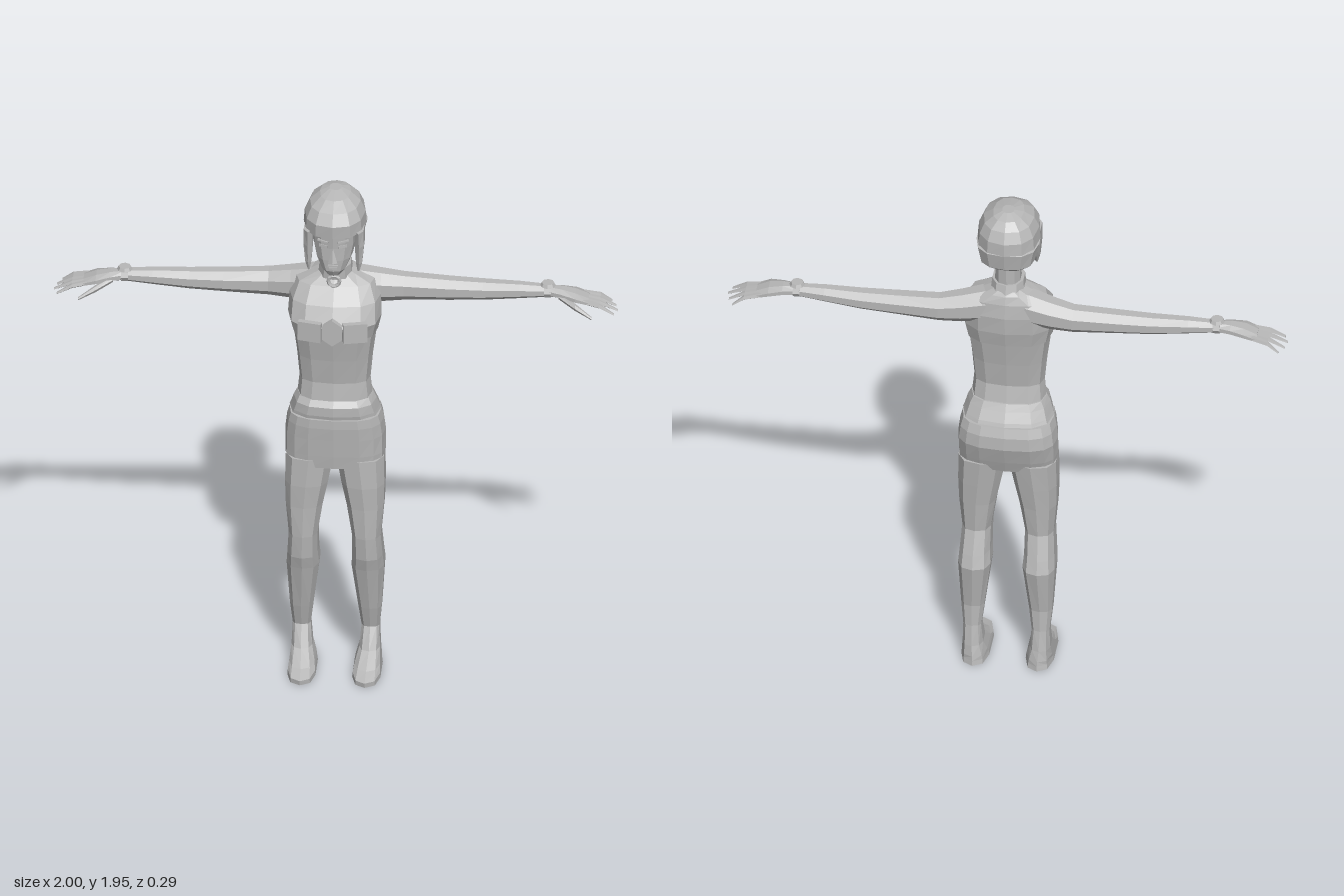
import * as THREE from 'three';

export function createModel() {
  const model = new THREE.Group();
  model.name = 'figure';
  const grey = new THREE.MeshStandardMaterial({ color: 0xb8b8b8 });
  grey.name = 'plain grey';
  grey.flatShading = true;
  grey.side = THREE.DoubleSide;

  const add = (geometry, name) => {
    const mesh = new THREE.Mesh(geometry, grey);
    mesh.name = name;
    model.add(mesh);
    return mesh;
  };

  // Skin a list of closed rings and cap both ends
  const skin = (rings) => {
    const n = rings[0].length;
    const pos = rings.flat(2);
    const idx = [];
    for (let i = 0; i < rings.length - 1; i++) {
      for (let j = 0; j < n; j++) {
        const a = i * n + j, b = i * n + (j + 1) % n;
        idx.push(a, b, b + n, a, b + n, a + n);
      }
    }
    const top = (rings.length - 1) * n;
    for (let j = 1; j < n - 1; j++) {
      idx.push(0, j + 1, j, top, top + j, top + j + 1);
    }
    const g = new THREE.BufferGeometry();
    g.setAttribute('position', new THREE.Float32BufferAttribute(pos, 3));
    g.setIndex(idx);
    const flat = g.toNonIndexed();
    flat.computeVertexNormals();
    return flat;
  };

  // Upright body: rows are [y, half width, front z, back z, centre x]
  const upright = (rows, n = 12, power = 0.75) => skin(rows.map(([y, hw, zf, zb, cx = 0]) =>
    Array.from({ length: n }, (_, j) => {
      const a = (j / n) * Math.PI * 2, s = Math.sin(a), c = Math.cos(a);
      const round = (v) => Math.sign(v) * Math.pow(Math.abs(v), power);
      return [cx + hw * round(s), y, (zf + zb) / 2 + (zf - zb) / 2 * round(c)];
    })));

  // Sideways limb: rows are [x, y, z, half height, half depth]
  const sideways = (rows, n = 8) => skin(rows.map(([x, y, z, hy, hz]) =>
    Array.from({ length: n }, (_, j) => {
      const a = ((j + 0.5) / n) * Math.PI * 2;
      return [x, y + hy * Math.cos(a) * 1.08, z + hz * Math.sin(a) * 1.08];
    })));

  // Add a left part and its mirrored right twin
  const pair = (geometry, name) => {
    const g = geometry.index ? geometry.toNonIndexed() : geometry;
    add(g, name + 'Left');
    const m = g.clone().scale(-1, 1, 1);
    const p = m.attributes.position;
    for (let i = 0; i < p.count; i += 3) {
      const b = [p.getX(i + 1), p.getY(i + 1), p.getZ(i + 1)];
      p.setXYZ(i + 1, p.getX(i + 2), p.getY(i + 2), p.getZ(i + 2));
      p.setXYZ(i + 2, ...b);
    }
    m.computeVertexNormals();
    add(m, name + 'Right');
  };

  // Torso, overhanging top, hips and belt
  add(upright([
    [1.04, 0.15, 0.085, -0.115], [1.11, 0.135, 0.085, -0.085], [1.2, 0.126, 0.075, -0.065],
    [1.3, 0.135, 0.09, -0.078], [1.43, 0.152, 0.115, -0.1],
  ]), 'torso');
  add(upright([
    [1.4, 0.153, 0.12, -0.1], [1.46, 0.166, 0.143, -0.113], [1.53, 0.162, 0.105, -0.117],
    [1.585, 0.14, 0.055, -0.11], [1.615, 0.08, 0.035, -0.1], [1.63, 0.05, 0.025, -0.09],
  ]), 'chest');
  add(upright([
    [0.85, 0.176, 0.072, -0.1], [0.9, 0.178, 0.078, -0.118], [0.97, 0.178, 0.085, -0.14],
    [1.02, 0.172, 0.09, -0.138], [1.055, 0.163, 0.09, -0.125],
  ], 16, 0.7), 'hips');
  add(upright([
    [1.062, 0.163, 0.095, -0.128], [1.075, 0.158, 0.098, -0.122],
    [1.11, 0.147, 0.098, -0.1], [1.135, 0.135, 0.08, -0.085],
  ]), 'belt');

  // Band across the chest with a hexagonal centre piece
  const clasp = new THREE.CylinderGeometry(0.045, 0.045, 0.02, 6);
  clasp.rotateX(Math.PI / 2).scale(0.9, 1.15, 1);
  add(clasp, 'chestClasp').position.set(0, 1.447, 0.138);
  const band = new THREE.BoxGeometry(0.085, 0.075, 0.02);
  band.rotateY(0.22).translate(0.08, 1.445, 0.131);
  pair(band, 'chestBand');

  // Legs and feet
  pair(upright([
    [0.15, 0.033, -0.025, -0.097, 0.122], [0.24, 0.043, 0.0, -0.095, 0.121],
    [0.42, 0.06, 0.045, -0.125, 0.115], [0.47, 0.056, 0.06, -0.11, 0.115],
    [0.56, 0.053, 0.068, -0.08, 0.112], [0.68, 0.068, 0.07, -0.09, 0.108],
    [0.77, 0.079, 0.075, -0.1, 0.1], [0.88, 0.088, 0.075, -0.112, 0.089],
  ], 10), 'leg');
  pair(upright([
    [0, 0.052, 0.143, -0.125, 0.115], [0.018, 0.05, 0.145, -0.122, 0.115],
    [0.035, 0.047, 0.09, -0.119, 0.116], [0.075, 0.038, 0.015, -0.11, 0.12],
    [0.155, 0.033, -0.025, -0.097, 0.122],
  ], 10), 'foot');

  // Arms
  pair(sideways([
    [0.07, 1.55, -0.045, 0.065, 0.06], [0.16, 1.537, -0.06, 0.057, 0.052],
    [0.24, 1.53, -0.07, 0.048, 0.045], [0.4, 1.53, -0.066, 0.04, 0.042],
    [0.52, 1.531, -0.064, 0.035, 0.038], [0.65, 1.537, -0.06, 0.028, 0.032],
    [0.76, 1.54, -0.057, 0.02, 0.024],
  ]), 'arm');

  // Hands with four fingers and a thumb
  pair(sideways([
    [0.75, 1.54, -0.057, 0.019, 0.024], [0.8, 1.538, -0.053, 0.018, 0.035],
    [0.85, 1.53, -0.05, 0.016, 0.045], [0.895, 1.516, -0.052, 0.011, 0.042],
  ]), 'palm');
  const tips = [[0.975, -0.103], [0.992, -0.07], [1, -0.036], [0.988, -0.004]];
  tips.forEach(([x, z], i) => {
    const z0 = -0.084 + i * 0.021;
    pair(sideways([
      [0.875, 1.521, z0, 0.01, 0.01], [0.935, 1.509, (z0 + z) / 2, 0.009, 0.009],
      [x, 1.481, z, 0.004, 0.005],
    ], 5), 'finger' + (i + 1));
  });
  pair(sideways([
    [0.79, 1.533, -0.035, 0.012, 0.014], [0.85, 1.508, 0.0, 0.012, 0.012],
    [0.91, 1.477, 0.022, 0.005, 0.006],
  ], 6), 'thumb');

  // Wrist bands with a round dial
  const strap = new THREE.CylinderGeometry(0.03, 0.03, 0.025, 8);
  strap.rotateZ(Math.PI / 2).scale(1, 0.8, 1).translate(0.75, 1.54, -0.057);
  pair(strap, 'wristStrap');
  const dial = new THREE.CylinderGeometry(0.022, 0.028, 0.012, 8);
  dial.translate(0.75, 1.567, -0.057);
  pair(dial, 'wristDial');

  // Neck, collar and ring pendant
  add(upright([
    [1.58, 0.055, 0.03, -0.09], [1.65, 0.047, 0.03, -0.078], [1.75, 0.045, 0.025, -0.08],
  ], 10, 0.9), 'neck');
  add(upright([[1.61, 0.063, 0.05, -0.1], [1.655, 0.058, 0.052, -0.085]], 10, 0.9), 'collar');
  const pendant = add(new THREE.TorusGeometry(0.02, 0.007, 5, 10), 'pendant');
  pendant.position.set(0, 1.612, 0.06);

  // Face
  add(upright([
    [1.65, 0.022, 0.088, 0.04], [1.675, 0.045, 0.103, 0.0], [1.72, 0.066, 0.107, -0.04],
    [1.77, 0.077, 0.108, -0.07], [1.85, 0.08, 0.115, -0.08],
  ], 12, 0.85), 'face');
  const nose = new THREE.ConeGeometry(0.017, 0.055, 4);
  nose.rotateX(-0.25);
  add(nose, 'nose').position.set(0, 1.748, 0.116);
  add(new THREE.BoxGeometry(0.036, 0.007, 0.008), 'upperLip').position.set(0, 1.701, 0.107);
  add(new THREE.BoxGeometry(0.028, 0.007, 0.008), 'lowerLip').position.set(0, 1.691, 0.106);
  const eye = new THREE.BoxGeometry(0.03, 0.01, 0.008);
  eye.rotateY(0.3).rotateZ(0.1).translate(0.034, 1.779, 0.1);
  pair(eye, 'eye');
  const brow = new THREE.BoxGeometry(0.04, 0.006, 0.009);
  brow.rotateY(0.3).rotateZ(0.15).translate(0.036, 1.8, 0.103);
  pair(brow, 'brow');

  // Hair cap with a stepped fringe and hanging side locks
  add(upright([
    [1.715, 0.06, -0.01, -0.075], [1.755, 0.098, 0.03, -0.125], [1.82, 0.112, 0.06, -0.137],
    [1.822, 0.112, 0.126, -0.137], [1.87, 0.108, 0.13, -0.135], [1.91, 0.09, 0.105, -0.115],
    [1.938, 0.055, 0.06, -0.09], [1.95, 0.022, 0.0, -0.05],
  ], 12, 0.85), 'hair');
  pair(upright([
    [1.665, 0.004, 0.075, 0.06, 0.088], [1.7, 0.012, 0.085, 0.04, 0.09],
    [1.77, 0.018, 0.095, 0.0, 0.091], [1.83, 0.018, 0.1, -0.02, 0.09],
  ], 6), 'sideLock');

  return model;
}
